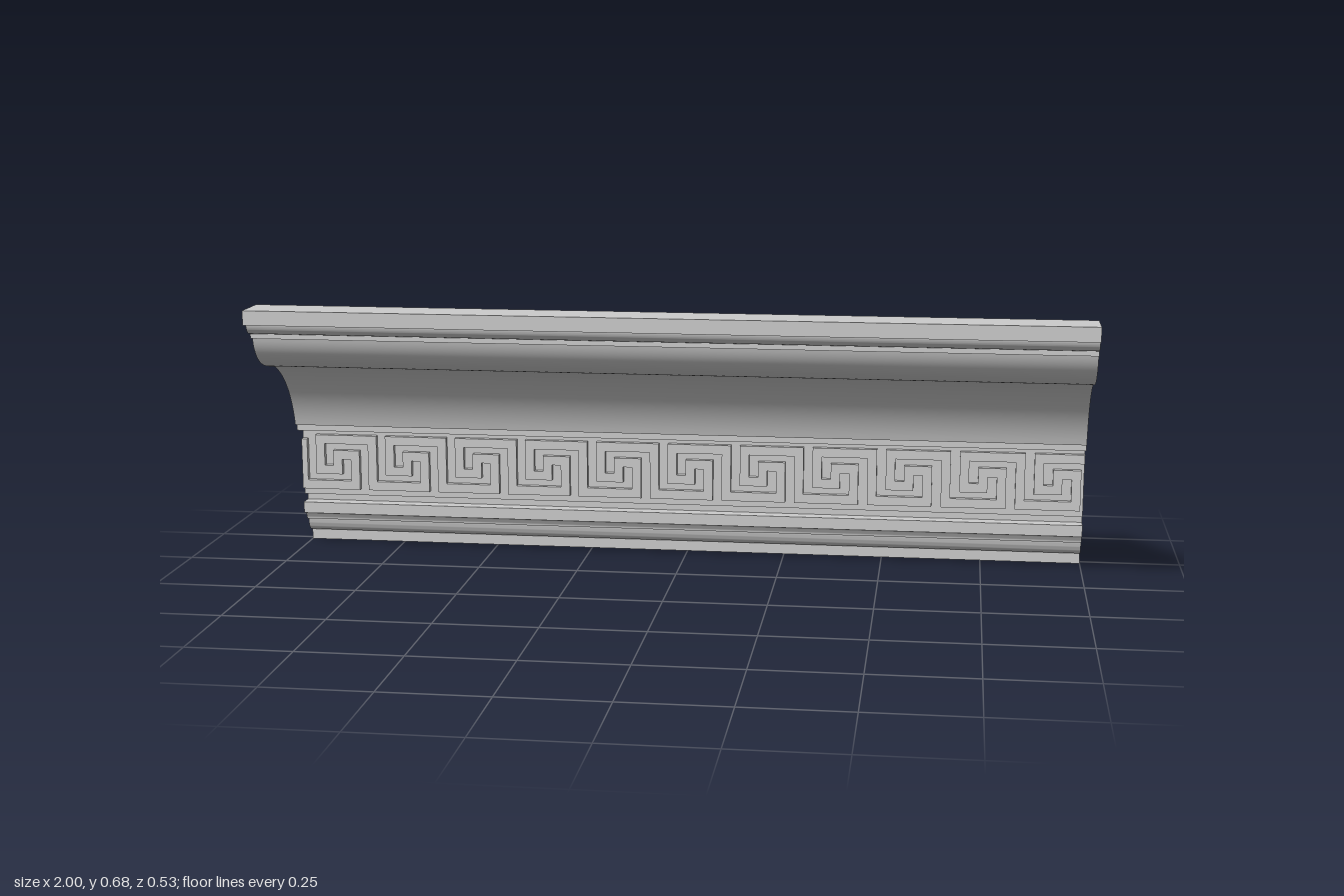
import * as THREE from 'three';
import { toCreasedNormals } from 'three/addons/utils/BufferGeometryUtils.js';

const material = new THREE.MeshStandardMaterial({ color: 0xcccccc });

// Moulding cross-section, drawn with z mirrored so that it can be turned to run along x
function mouldingProfile() {
  const s = new THREE.Shape();
  const line = (...pts) => pts.forEach(([z, y]) => s.lineTo(-z, y));
  s.moveTo(-0.16, 0.68);
  // Top fillet and small cove
  line([0.265, 0.68], [0.265, 0.645], [0.243, 0.645]);
  s.quadraticCurveTo(-0.24, 0.619, -0.212, 0.617);
  line([0.212, 0.605], [0.198, 0.605]);
  // Large S-curve
  s.bezierCurveTo(-0.185, 0.545, -0.13, 0.518, -0.05, 0.512);
  s.bezierCurveTo(0.03, 0.485, 0.095, 0.415, 0.115, 0.33);
  // Steps, flat frieze and groove
  line([-0.128, 0.33], [-0.128, 0.313], [-0.177, 0.313], [-0.177, 0.135],
    [-0.2, 0.135], [-0.2, 0.115], [-0.165, 0.115], [-0.165, 0.086]);
  // Lower round, cove and foot
  s.quadraticCurveTo(0.186, 0.086, 0.189, 0.065);
  line([-0.201, 0.065]);
  s.quadraticCurveTo(0.204, 0.029, 0.232, 0.027);
  line([-0.232, 0], [-0.265, 0], [-0.265, 0.36]);
  s.closePath();
  return s;
}

// Ribbon of constant width along a path of right-angled turns
function ribbonShape(path, width) {
  const h = width / 2;
  const side = (sign) => path.map((p, i) => {
    const a = path[Math.max(i - 1, 0)], b = path[Math.min(i + 1, path.length - 1)];
    const d1 = p.clone().sub(a).normalize(), d2 = b.clone().sub(p).normalize();
    // At a right angle the mitre is the sum of both normals
    const n = d1.add(d2);
    return new THREE.Vector2(Math.max(-1, p.x - n.y * h * sign), p.y + n.x * h * sign);
  });
  return new THREE.Shape([...side(1), ...side(-1).reverse()]);
}

// Running key: each unit winds in to the middle and out again
function keyPath() {
  const start = -0.997, stepX = 0.046, stepY = 0.04, low = 0.1635;
  const unit = [[0, 3], [0, 0], [3, 0], [3, 2], [2, 2], [2, 1], [1, 1], [1, 3]];
  const path = [];
  for (let i = 0; i < 11; i++) {
    for (const [c, r] of unit) {
      path.push(new THREE.Vector2(start + (i * 4 + c) * stepX, low + r * stepY));
    }
  }
  path.push(new THREE.Vector2(1, low + 3 * stepY));
  return path;
}

export function createModel() {
  const group = new THREE.Group();
  group.name = 'corniceMoulding';

  let body = new THREE.ExtrudeGeometry(mouldingProfile(), { depth: 2, bevelEnabled: false, curveSegments: 20 });
  body.rotateY(Math.PI / 2).translate(-1, 0, 0);
  body = toCreasedNormals(body, 0.4);
  const moulding = new THREE.Mesh(body, material);
  moulding.name = 'mouldingBody';
  group.add(moulding);

  // Raised key pattern on the frieze
  const relief = new THREE.ExtrudeGeometry(ribbonShape(keyPath(), 0.023), { depth: 0.016, bevelEnabled: false });
  relief.translate(0, 0, -0.179);
  const key = new THREE.Mesh(relief, material);
  key.name = 'keyPatternRelief';
  group.add(key);

  return group;
}
